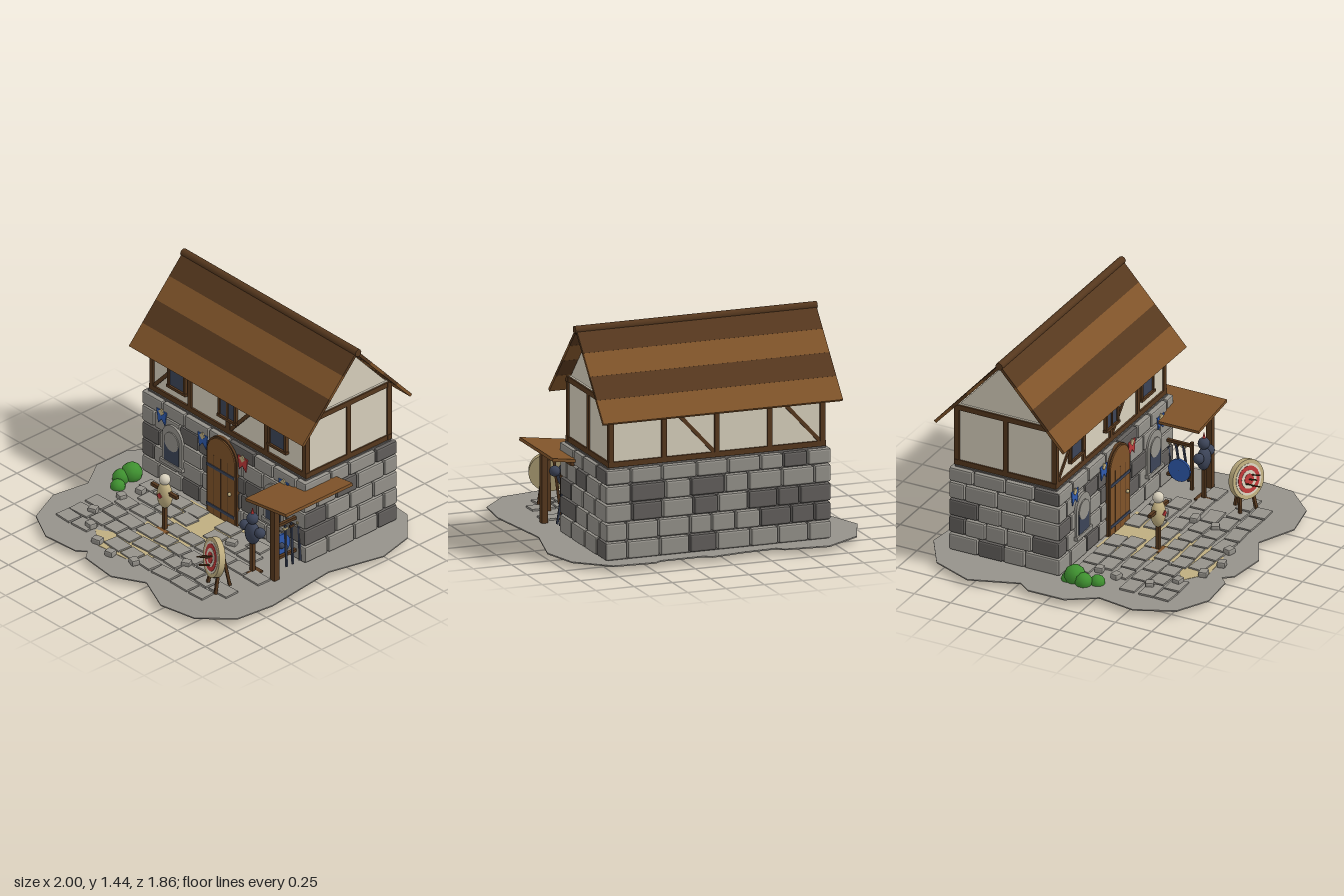
import * as THREE from 'three';
import { RoundedBoxGeometry } from 'three/addons/geometries/RoundedBoxGeometry.js';

const colours = {
  darkWood: 0x56381e, wood: 0x7f5329, plaster: 0xd8d0bd, stone: 0x95928b, darkStone: 0x625f5c,
  straw: 0xbfae80, leaf: 0x3f9130, steel: 0x3c4458, red: 0xbd3838, blue: 0x2f5aae,
};

export function createModel() {
  const root = new THREE.Group();
  const M = {};
  for (const [name, color] of Object.entries(colours)) {
    M[name] = new THREE.MeshStandardMaterial({ color });
    M[name].name = name;
  }
  let seed = 7;
  const rnd = (a = 0, b = 1) => {
    seed = (seed * 16807) % 2147483647;
    return a + (b - a) * (seed / 2147483647);
  };
  const group = (name, x = 0, y = 0, z = 0) => {
    const g = new THREE.Group();
    g.name = name;
    g.position.set(x, y, z);
    root.add(g);
    return g;
  };
  const add = (parent, name, geo, mat, x = 0, y = 0, z = 0) => {
    const m = new THREE.Mesh(geo, mat);
    m.name = name;
    m.position.set(x, y, z);
    parent.add(m);
    return m;
  };
  const box = (p, name, mat, w, h, d, x, y, z) => add(p, name, new THREE.BoxGeometry(w, h, d), mat, x, y, z);
  const ball = (p, name, mat, r, x, y, z) => add(p, name, new THREE.SphereGeometry(r, 18, 12), mat, x, y, z);
  // Square bar between two points
  const bar = (p, name, mat, a, b, w, t = w) => {
    const A = new THREE.Vector3(...a), B = new THREE.Vector3(...b), d = B.clone().sub(A);
    const m = add(p, name, new THREE.BoxGeometry(w, d.length(), t), mat);
    m.position.copy(A).add(B).multiplyScalar(0.5);
    m.quaternion.setFromUnitVectors(new THREE.Vector3(0, 1, 0), d.normalize());
    return m;
  };
  const block = (w, h, d, r) => {
    const g = new RoundedBoxGeometry(w, h, d, 1, r);
    g.computeVertexNormals();
    return g;
  };
  const plate = (pts, depth) => new THREE.ExtrudeGeometry(
    new THREE.Shape(pts.map(([x, y]) => new THREE.Vector2(x, y))), { depth, bevelEnabled: false });
  const slab = (pts, depth) => plate(pts.map(([x, z]) => [x, -z]), depth).rotateX(-Math.PI / 2);
  const arch = (w, h, depth) => {
    const s = new THREE.Shape().moveTo(-w / 2, 0).lineTo(w / 2, 0).lineTo(w / 2, h - w / 2);
    s.absarc(0, h - w / 2, w / 2, 0, Math.PI, false);
    return new THREE.ExtrudeGeometry(s, { depth, bevelEnabled: false, curveSegments: 12 });
  };

  // Ground and paved yard
  const yard = group('yard');
  add(yard, 'ground', slab([[-1, -.52], [-.89, -.79], [-.65, -.94], [-.37, -.91], [-.33, -.87], [-.12, -.88],
    [.1, -.91], [.15, -.88], [.43, -.88], [.47, -.91], [.74, -.89], [.94, -.71], [1, -.46], [.91, -.09],
    [.97, .42], [.94, .68], [.76, .87], [.51, .92], [.26, .81], [.06, .92], [-.2, .89], [-.25, .83],
    [-.3, .88], [-.55, .9], [-.76, .79], [-.87, .55], [-.83, .3], [-.95, .12], [-.95, -.13], [-.89, -.21]],
  .008), M.stone, 0, .032, 0);
  add(yard, 'sandPath', slab([[-.26, -.03], [.26, -.03], [.23, .2], [.12, .35], [.1, .55], [-.02, .72],
    [-.25, .74], [-.4, .63], [-.2, .5], [-.27, .3]], .002), M.straw, 0, .04, 0);
  [[.04, -.6, .5], [.15, -.5, .6], [.28, -.56, .7], [.41, -.69, .55], [.53, -.69, .68], [.65, -.69, .68]]
    .forEach(([z, from, to], row) => {
      for (let x = from; x < to - .08;) {
        const w = rnd(.12, .17);
        const gap = (row === 5 && x > -.55 && x < -.3) || (row < 2 && Math.abs(x + w / 2) < .2 && rnd() < .45);
        if (!gap) box(yard, 'paver', M.stone, w - .015, .014, .1, x + w / 2, .045, z + rnd(-.008, .008))
          .rotation.y = rnd(-.08, .08);
        x += w;
      }
    });
  [[-.56, .27], [-.56, .5], [-.44, .63], [-.28, .72], [-.12, .76], [.05, .72], [.28, .5], [.32, .34],
    [.29, .14], [-.53, .14]].forEach(([x, z]) => {
    add(yard, 'looseStone', block(rnd(.05, .075), .04, .055, .01), M.stone, x, .058, z).rotation.y = rnd(-.5, .5);
  });

  // Stone ground floor: dark core with staggered courses on four sides
  const base = group('stoneFloor');
  box(base, 'wallCore', M.darkStone, 1.42, .59, .7, .018, .325, -.418);
  const walls = [[-.72, .755, -.065, 0], [-.72, .755, -.772, 0], [-.8, -.037, -.692, 1], [-.8, -.037, .727, 1]];
  for (const [from, to, at, side] of walls) {
    for (let row = 0; row < 5; row++) {
      const h = row === 4 ? .1 : .118, y = .042 + row * .118 + h / 2;
      for (let p = from; p < to - .001;) {
        let w = p === from && row % 2 ? .11 : rnd(.14, .23);
        if (to - p - w < .08) w = to - p;
        const out = rnd(.05, .06);
        const g = side ? block(out, h - .008, w - .008, .012) : block(w - .008, h - .008, out, .012);
        const mat = rnd() < .27 ? M.darkStone : M.stone, c = p + w / 2;
        add(base, 'stoneBlock', g, mat, side ? at : c, y, side ? c : at);
        p += w;
      }
    }
  }

  // Arched door
  const door = group('door', .02, .042, -.045);
  add(door, 'doorFrame', arch(.27, .572, .022), M.darkWood);
  add(door, 'doorPanel', arch(.25, .56, .03), M.wood);
  for (const x of [-.062, 0, .062]) box(door, 'plankGap', M.darkWood, .004, .42, .002, x, .215, .0305);
  for (const y of [.06, .34]) box(door, 'hingeBand', M.steel, .25, .02, .006, 0, y, .032);
  ball(door, 'handle', M.straw, .012, .085, .215, .036);

  // Arched ground floor windows
  for (const x of [-.43, .485]) {
    const w = group('archedWindow', x, .21, -.045);
    add(w, 'stoneArch', arch(.18, .28, .02), M.stone);
    box(w, 'glass', M.steel, .13, .14, .006, 0, .09, .022);
    add(w, 'lintel', new THREE.CylinderGeometry(.065, .065, .008, 16).rotateX(Math.PI / 2), M.stone, 0, .17, .023);
    box(w, 'sill', M.stone, .2, .025, .035, 0, .008, .015);
  }

  // Small wall pennants
  [[-.53, M.blue], [-.16, M.blue], [.2, M.red], [.57, M.blue]].forEach(([x, mat]) => {
    const p = group('pennant', x, .535, -.035);
    add(p, 'cloth', plate([[-.045, .02], [-.03, -.075], [0, -.04], [.03, -.075], [.045, .02]], .006), mat);
    box(p, 'badge', M.straw, .035, .035, .008, 0, .01, .006).rotation.z = Math.PI / 4;
  });

  // Timber-framed upper floor
  const upper = group('upperFloor');
  box(upper, 'plasterWall', M.plaster, 1.395, .41, .68, .018, .83, -.425);
  add(upper, 'gable', plate([[-.335, 1.02], [.335, 1.02], [0, 1.39]], 1.37).rotateY(Math.PI / 2),
    M.plaster, -.667, 0, -.425);
  const zf = -.09, zb = -.76, xl = -.672, xr = .708;
  for (const z of [zf, zb]) {
    for (const y of [.64, 1.015]) box(upper, 'longBeam', M.darkWood, 1.42, .034, .034, .018, y, z);
    for (let i = 0; i < 5; i++) box(upper, 'post', M.darkWood, .032, .38, .034, xl + i * .345, .83, z);
    for (const x of [xl + .015, xl + .705]) bar(upper, 'brace', M.darkWood, [x, .655, z], [x + .315, 1, z], .024, .026);
  }
  for (const x of [xl, xr]) {
    for (const y of [.64, 1.015]) box(upper, 'crossBeam', M.darkWood, .034, .034, .7, x, y, -.425);
    box(upper, 'gablePost', M.darkWood, .034, .38, .032, x, .83, -.425);
  }
  for (const x of [-.435, .018, .472]) {
    const w = group('upperWindow', x, .825, -.078);
    box(w, 'glass', M.steel, .13, .18, .012, 0, 0, 0);
    for (const s of [-1, 1]) {
      box(w, 'jamb', M.darkWood, .018, .2, .025, s * .072, 0, .002);
      box(w, 'rail', M.darkWood, .172, .018, .03, 0, s * .097, .004);
    }
    if (x > -.1 && x < .1) box(w, 'mullion', M.darkWood, .018, .18, .018, 0, 0, .002);
  }

  // Roof of alternating plank bands
  const roof = group('roof');
  const tilt = Math.atan2(.48, .44), len = Math.hypot(.48, .44);
  for (const s of [-1, 1]) {
    for (let k = 0; k < 4; k++) {
      const t = (k + .5) / 4;
      box(roof, 'roofBand', k % 2 ? M.wood : M.darkWood, 1.565, .02, len / 4 + .008,
        .0175, 1.41 - .48 * t - k * .001, -.425 + s * .44 * t).rotation.x = s * tilt;
    }
  }
  add(roof, 'ridgeBeam', new THREE.CylinderGeometry(.025, .025, 1.58, 8).rotateZ(Math.PI / 2), M.darkWood, .02, 1.412, -.425);

  // Lean-to shelter
  const shelter = group('shelter');
  bar(shelter, 'shelterRoof', M.wood, [.535, .522, -.025], [.9, .572, -.025], .02, .545);
  box(shelter, 'shelterPost', M.darkWood, .04, .49, .04, .755, .285, .21);
  box(shelter, 'shelterBeam', M.darkWood, .03, .03, .5, .755, .53, -.02);

  // Weapon rack with round shield
  const rack = group('weaponRack', .67, 0, 0);
  for (const z of [.13, -.1]) box(rack, 'rackPost', M.darkWood, .018, .33, .018, 0, .2, z);
  for (const y of [.11, .34]) box(rack, 'rackRail', M.darkWood, .02, .018, .25, 0, y, .015);
  [.08, .03, -.03, -.08].forEach((z, i) => {
    bar(rack, 'weaponShaft', M.steel, [.05, .06, z], [.015, .33, z - .02], .012);
    box(rack, 'weaponGuard', i % 2 ? M.darkWood : M.straw, .012, .014, .035, .02, .31, z - .018);
  });
  add(rack, 'shield', new THREE.CylinderGeometry(.075, .075, .015, 20).rotateZ(Math.PI / 2), M.blue, -.03, .17, .06);
  ball(rack, 'shieldBoss', M.steel, .02, -.018, .17, .06);

  // Armour stand
  const armour = group('armourStand', .6, 0, .25);
  box(armour, 'standBase', M.darkWood, .09, .022, .09, 0, .04, 0);
  box(armour, 'standPole', M.darkWood, .024, .22, .024, 0, .15, 0);
  ball(armour, 'breastplate', M.steel, .055, 0, .315, 0).scale.set(1, 1.35, .75);
  for (const s of [-1, 1]) ball(armour, 'pauldron', M.steel, .034, s * .068, .345, 0);
  ball(armour, 'helmet', M.steel, .038, 0, .42, 0);
  add(armour, 'plume', new THREE.ConeGeometry(.012, .05, 8), M.red, 0, .475, 0);

  // Training dummy
  const dummy = group('trainingDummy', -.115, 0, .32);
  box(dummy, 'dummyBase', M.wood, .09, .022, .09, 0, .04, 0);
  box(dummy, 'dummyPole', M.darkWood, .024, .3, .024, 0, .19, 0);
  ball(dummy, 'strawBody', M.straw, .055, 0, .29, 0).scale.set(1, 1.62, .8);
  box(dummy, 'arms', M.darkWood, .23, .022, .022, 0, .32, 0);
  ball(dummy, 'head', M.plaster, .036, 0, .4, 0);
  box(dummy, 'chestMark', M.red, .03, .03, .008, 0, .3, .043).rotation.z = Math.PI / 4;

  // Archery target on a leaning stand
  const target = group('archeryTarget', .585, .26, .55);
  target.rotation.set(-.18, -.36, 0, 'YXZ');
  const disc = (name, mat, r, d, z) =>
    add(target, name, new THREE.CylinderGeometry(r, r, d, 28).rotateX(Math.PI / 2), mat, 0, 0, z);
  disc('strawDisc', M.straw, .125, .04, 0);
  [[.1, M.plaster], [.085, M.red], [.058, M.plaster], [.036, M.red]]
    .forEach(([r, mat], i) => disc('ring', mat, r, .003, .021 + i * .002));
  for (const [x, y] of [[0, 0], [.025, .02], [-.03, -.02], [.015, -.045]])
    bar(target, 'arrow', M.darkWood, [x, y, .02], [x * 1.2, y * 1.1 + .01, .1], .007);
  for (const s of [-1, 1]) bar(target, 'frontLeg', M.darkWood, [s * .03, .08, -.022], [s * .065, -.22, -.022], .018);
  bar(target, 'backLeg', M.darkWood, [0, .09, -.025], [0, -.2, -.14], .018);

  // Bushes and weeds
  const plants = group('plants');
  [[-.7, .075, .06, .068], [-.72, .06, .13, .055], [-.67, .048, .2, .048], [-.71, .045, .02, .045],
    [.05, .03, -.31, .03], [.57, .03, -.48, .03], [.1, .03, -.64, .03]].forEach(([x, y, z, r]) => {
    add(plants, 'bush', new THREE.IcosahedronGeometry(r, 1), M.leaf, x, y, z).rotation.set(rnd(0, 3), rnd(0, 3), 0);
  });
  return root;
}
